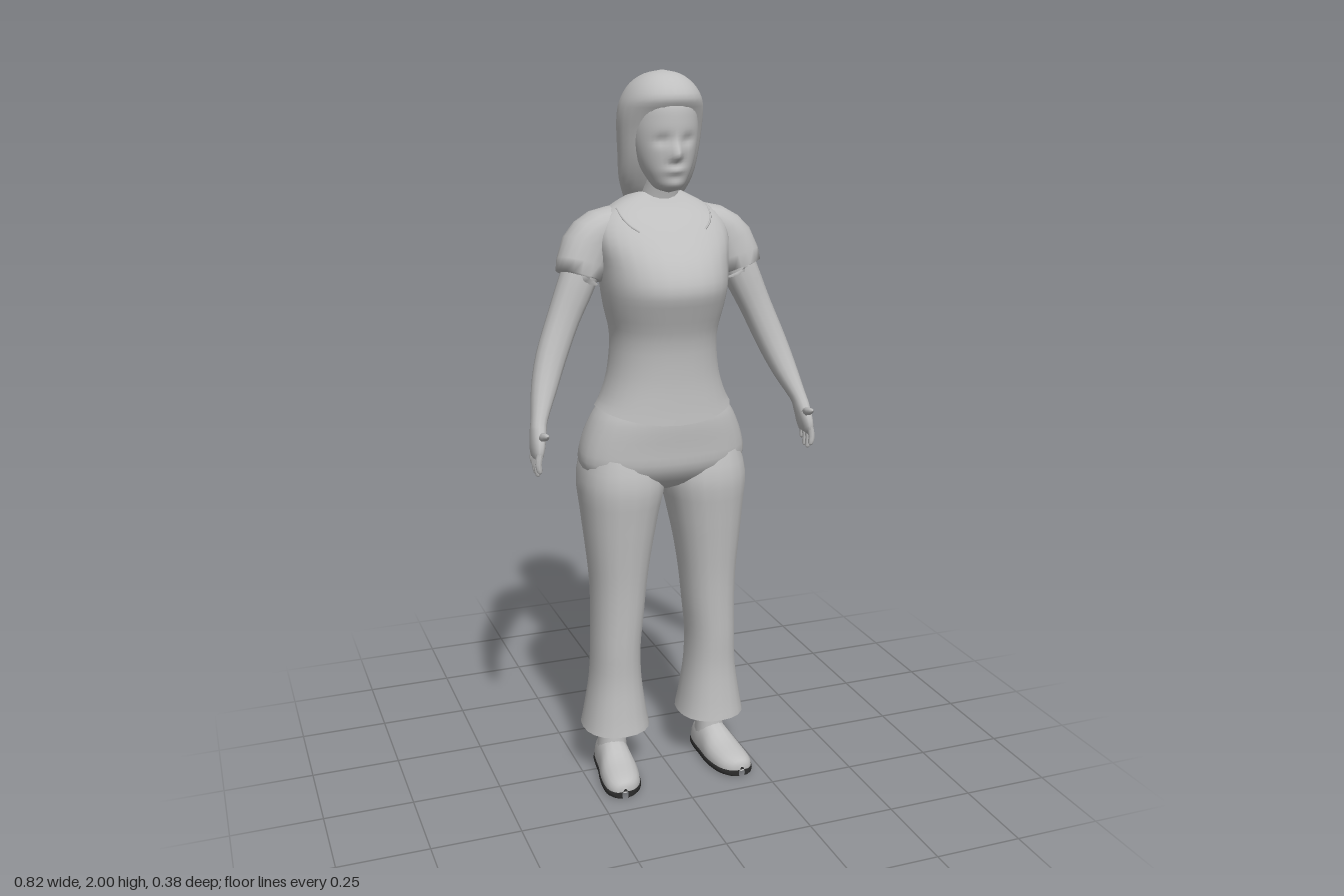
import * as THREE from 'three';

const UP = new THREE.Vector3(0, 1, 0), FWD = new THREE.Vector3(0, 0, 1);

// Skin a smooth surface over sections [x, y, z, side radius, front radius, back radius].
// With no axis, the rings stand square to the path.
function loft(secs, { axis = null, sides = 18, steps = 3, square = 0.9, warp = null } = {}) {
  const curve = (f) => new THREE.CatmullRomCurve3(secs.map(f), false, 'catmullrom', 0.5);
  const path = curve((s) => new THREE.Vector3(s[0], s[1], s[2]));
  const radii = curve((s) => new THREE.Vector3(s[3], s[4], s[5] ?? s[4]));
  const ref = axis === FWD ? UP : FWD;
  const n = (secs.length - 1) * steps;
  const pos = [], index = [];
  const soft = (v) => Math.sign(v) * Math.pow(Math.abs(v), square);
  for (let i = 0; i <= n; i++) {
    const c = path.getPoint(i / n), r = radii.getPoint(i / n);
    const t = axis ? axis.clone() : path.getTangent(i / n);
    const u = t.clone().cross(ref).normalize();
    const v = u.clone().cross(t);
    for (let j = 0; j < sides; j++) {
      const a = (j / sides) * Math.PI * 2, s = soft(Math.sin(a));
      const p = c.clone()
        .addScaledVector(u, r.x * soft(Math.cos(a)))
        .addScaledVector(v, s * (s > 0 ? r.y : r.z));
      if (warp) warp(p);
      pos.push(p.x, p.y, p.z);
      if (i < n) {
        const k = (j + 1) % sides, A = i * sides + j, B = i * sides + k;
        index.push(A, A + sides, B, B, A + sides, B + sides);
      }
    }
  }
  const g = new THREE.BufferGeometry();
  g.setAttribute('position', new THREE.Float32BufferAttribute(pos, 3));
  g.setIndex(index);
  g.computeVertexNormals();
  return g;
}

const bump = (d, w) => Math.exp(-(d * d) / (w * w));

export function createModel() {
  const model = new THREE.Group();
  const grey = new THREE.MeshStandardMaterial({ color: 0xbfbfbf, side: THREE.DoubleSide });
  grey.name = 'light grey';
  const dark = new THREE.MeshStandardMaterial({ color: 0x2c2c2c });
  dark.name = 'dark sole';

  const add = (name, geo, mat = grey) => {
    const m = new THREE.Mesh(geo, mat);
    m.name = name;
    model.add(m);
    return m;
  };
  // Same sections for the left (+x) and right (-x) side
  const pair = (name, secs, opts, mat) => {
    for (const s of [1, -1]) {
      add((s > 0 ? 'left ' : 'right ') + name,
        loft(secs.map(([x, ...rest]) => [x * s, ...rest]), opts), mat);
    }
  };

  // Shirt, with a hem that dips at the centre
  const shirt = add('shirt', loft([
    [0, 1.072, 0, 0.192, 0.145, 0.147],
    [0, 1.12, 0, 0.18, 0.141, 0.135],
    [0, 1.2, 0, 0.156, 0.138, 0.121],
    [0, 1.3, 0, 0.147, 0.145, 0.118],
    [0, 1.38, 0, 0.163, 0.172, 0.128],
    [0, 1.44, 0, 0.172, 0.19, 0.138],
    [0, 1.5, 0, 0.177, 0.167, 0.147],
    [0, 1.56, 0, 0.185, 0.12, 0.148],
    [0, 1.61, -0.02, 0.175, 0.095, 0.12],
    [0, 1.65, -0.03, 0.13, 0.065, 0.09],
    [0, 1.685, -0.035, 0.062, 0.045, 0.055],
  ], {
    axis: UP, sides: 28,
    warp: (p) => { if (p.y < 1.13) p.y += 0.032 * (p.x / 0.19) ** 2 * (1.13 - p.y) / 0.058; },
  }));
  pair('sleeve', [
    [0.09, 1.6, -0.045, 0.05, 0.06],
    [0.16, 1.585, -0.04, 0.058, 0.068],
    [0.208, 1.54, -0.03, 0.066, 0.066],
    [0.233, 1.468, -0.014, 0.062, 0.06],
    [0.232, 1.468, -0.014, 0.046, 0.046],
  ], { steps: 2 });

  // Neckline seams laid on the chest
  shirt.updateMatrixWorld();
  const ray = new THREE.Raycaster();
  for (const s of [1, -1]) {
    const pts = [[0.128, 1.645], [0.125, 1.625], [0.112, 1.605], [0.092, 1.59]].map(([x, y]) => {
      ray.set(new THREE.Vector3(x * s, y, 1), new THREE.Vector3(0, 0, -1));
      const hit = ray.intersectObject(shirt)[0];
      return new THREE.Vector3(x * s, y, hit ? hit.point.z : 0);
    });
    add('neckline seam', new THREE.TubeGeometry(new THREE.CatmullRomCurve3(pts), 12, 0.003, 5));
  }

  // Trousers: hips, then flared legs
  add('hips', loft([
    [0, 1.11, 0, 0.178, 0.132, 0.132],
    [0, 1.07, 0, 0.205, 0.137, 0.153],
    [0, 1.0, 0, 0.232, 0.133, 0.187],
    [0, 0.94, 0, 0.236, 0.128, 0.186],
    [0, 0.89, 0, 0.19, 0.09, 0.12],
    [0, 0.86, 0, 0.06, 0.03, 0.04],
  ], { axis: UP, sides: 28 }));
  pair('trouser leg', [
    [0.125, 1.0, 0, 0.09, 0.1, 0.15],
    [0.122, 0.9, 0, 0.119, 0.127, 0.182],
    [0.128, 0.8, 0, 0.107, 0.12, 0.142],
    [0.133, 0.7, 0, 0.093, 0.11, 0.1],
    [0.136, 0.6, 0, 0.081, 0.101, 0.08],
    [0.14, 0.5, 0, 0.075, 0.096, 0.07],
    [0.146, 0.4, 0, 0.071, 0.093, 0.071],
    [0.147, 0.3, 0, 0.074, 0.09, 0.08],
    [0.148, 0.2, 0, 0.088, 0.098, 0.098],
    [0.148, 0.145, 0, 0.098, 0.105, 0.11],
  ], { axis: UP.clone().negate(), sides: 20 });

  // Ankles, shoes and soles
  pair('ankle', [
    [0.152, 0.26, -0.01, 0.045, 0.042],
    [0.153, 0.14, -0.01, 0.039, 0.04],
    [0.156, 0.05, -0.01, 0.043, 0.048],
  ], { axis: UP.clone().negate() });
  const foot = [ // x, z, half width, height
    [0.155, -0.073, 0.012, 0.02], [0.155, -0.062, 0.038, 0.06],
    [0.156, -0.02, 0.047, 0.085], [0.159, 0.03, 0.05, 0.078],
    [0.165, 0.09, 0.056, 0.052], [0.173, 0.15, 0.05, 0.038],
    [0.178, 0.18, 0.03, 0.027], [0.18, 0.188, 0.006, 0.01],
  ];
  pair('shoe', foot.map(([x, z, w, h]) => [x, 0.02, z, w, h, 0.003]), { axis: FWD });
  pair('sole', foot.map(([x, z, w]) => [x, 0.011, z, w + 0.003, 0.011]),
    { axis: FWD, square: 0.5 }, dark);

  // Arms and hands
  pair('arm', [
    [0.2, 1.55, -0.02, 0.045, 0.045],
    [0.235, 1.46, -0.014, 0.05, 0.048],
    [0.28, 1.36, -0.004, 0.044, 0.043],
    [0.322, 1.26, 0.015, 0.041, 0.041],
    [0.352, 1.18, 0.045, 0.034, 0.035],
    [0.377, 1.11, 0.083, 0.022, 0.027],
    [0.384, 1.08, 0.095, 0.021, 0.031],
    [0.39, 1.04, 0.106, 0.018, 0.04],
    [0.393, 1.015, 0.109, 0.012, 0.036],
    [0.393, 1.008, 0.109, 0.004, 0.02],
  ], { sides: 14 });
  for (let f = 0; f < 4; f++) {
    const z = 0.137 - f * 0.019, tip = [0.976, 0.964, 0.966, 0.984][f];
    pair('finger', [
      [0.392, 1.03, z, 0.01, 0.01],
      [0.397, (1.03 + tip) / 2, z + 0.002, 0.009, 0.009],
      [0.394, tip + 0.006, z + 0.003, 0.007, 0.007],
      [0.393, tip, z + 0.003, 0.001, 0.001],
    ], { sides: 8, steps: 2 });
  }
  pair('thumb', [
    [0.384, 1.075, 0.1, 0.012, 0.014],
    [0.382, 1.075, 0.135, 0.011, 0.012],
    [0.38, 1.083, 0.165, 0.008, 0.008],
    [0.38, 1.087, 0.178, 0.001, 0.001],
  ], { sides: 8, steps: 2 });

  // Neck
  add('neck', loft([
    [0, 1.6, -0.05, 0.075, 0.06],
    [0, 1.68, -0.03, 0.054, 0.054],
    [0, 1.77, 0, 0.05, 0.05],
  ], { axis: UP }));

  // Head, with nose, lips, chin and eye hollows pushed out of the face
  add('head', loft([
    [0, 1.688, 0.045, 0.006, 0.01],
    [0, 1.7, 0.045, 0.036, 0.044],
    [0, 1.73, 0.035, 0.057, 0.066],
    [0, 1.77, 0.02, 0.076, 0.085],
    [0, 1.82, 0.015, 0.087, 0.092],
    [0, 1.87, 0.01, 0.089, 0.099],
    [0, 1.92, 0.005, 0.082, 0.095],
    [0, 1.96, 0, 0.05, 0.06],
  ], {
    axis: UP, sides: 40, steps: 6, square: 1,
    warp: (p) => {
      if (p.z < 0.04) return;
      const ax = Math.abs(p.x);
      p.z += 0.026 * bump(p.x, 0.013) * bump(p.y - 1.785, p.y > 1.785 ? 0.032 : 0.012)
        + 0.01 * bump(p.x, 0.025) * bump(p.y - 1.748, 0.01)
        + 0.006 * bump(p.x, 0.025) * bump(p.y - 1.712, 0.014)
        - 0.01 * bump(ax - 0.034, 0.018) * bump(p.y - 1.825, 0.014);
    },
  }));

  // Hair, drawn back from the face into a tail
  add('hair', loft([
    [0, 1.525, -0.148, 0.008, 0.006],
    [0, 1.55, -0.138, 0.034, 0.022, 0.018],
    [0, 1.61, -0.112, 0.054, 0.04, 0.035],
    [0, 1.67, -0.075, 0.083, 0.06, 0.06],
    [0, 1.72, -0.05, 0.102, 0.065, 0.08],
    [0, 1.78, -0.03, 0.109, 0.075, 0.106],
    [0, 1.85, -0.02, 0.114, 0.09, 0.119],
    [0, 1.895, -0.015, 0.113, 0.108, 0.121],
    [0, 1.93, -0.01, 0.104, 0.122, 0.117],
    [0, 1.965, -0.005, 0.082, 0.095, 0.098],
    [0, 1.99, 0, 0.046, 0.052, 0.056],
    [0, 2.0, 0, 0.002, 0.002],
  ], { axis: UP, sides: 24, square: 0.95 }));

  return model;
}
